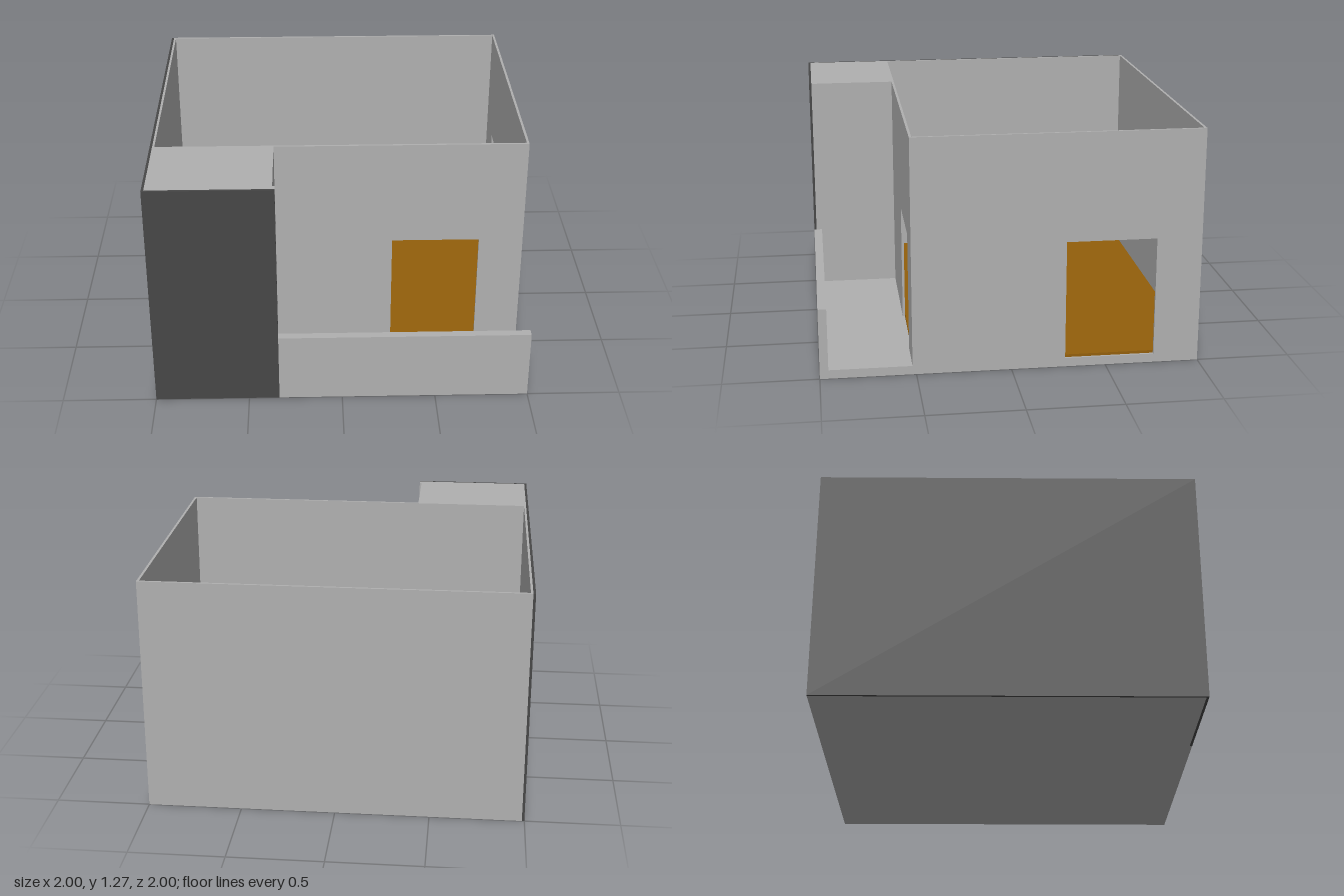
import * as THREE from 'three';

export function createModel() {
  const model = new THREE.Group();
  const plaster = new THREE.MeshStandardMaterial({ color: 0xb0b0b0, name: 'grey plaster' });
  const cladding = new THREE.MeshStandardMaterial({ color: 0x474747, name: 'dark cladding' });
  const wood = new THREE.MeshStandardMaterial({ color: 0x935f0b, name: 'brown wood' });

  const top = 1.27, slabTop = 0.047, wall = 0.013, roomFront = 0.52;

  // Box given by its lower and upper corners
  function block(name, material, [x0, y0, z0], [x1, y1, z1]) {
    const mesh = new THREE.Mesh(new THREE.BoxGeometry(x1 - x0, y1 - y0, z1 - z0), material);
    mesh.position.set((x0 + x1) / 2, (y0 + y1) / 2, (z0 + z1) / 2);
    mesh.name = name;
    model.add(mesh);
    return mesh;
  }

  // Upright wall in the xy plane with one rectangular opening
  function wallWithOpening(name, u0, u1, o0, o1) {
    const shape = new THREE.Shape([
      [u0, slabTop], [o0, slabTop], [o0, 0.69], [o1, 0.69], [o1, slabTop],
      [u1, slabTop], [u1, top], [u0, top],
    ].map(([u, v]) => new THREE.Vector2(u, v)));
    const geometry = new THREE.ExtrudeGeometry(shape, { depth: wall, bevelEnabled: false });
    const mesh = new THREE.Mesh(geometry, plaster);
    mesh.name = name;
    model.add(mesh);
    return mesh;
  }

  // Base slab and wooden room floor
  block('baseSlab', plaster, [-1 + wall, 0, -1], [1, slabTop, 1 - wall]);
  block('roomFloor', wood, [-0.975, slabTop, -0.988], [0.987, 0.062, 0.508]);

  // Room walls
  block('backWall', plaster, [-1 + wall, slabTop, -1], [1, top, -1 + wall]);
  block('leftWall', plaster, [-1 + wall, slabTop, -1 + wall], [-0.975, top, roomFront]);
  const frontWall = wallWithOpening('frontWall', -0.975, 1, 0.285, 0.76);
  frontWall.position.z = roomFront - wall;
  // Turned so that local x runs along -z
  const rightWall = wallWithOpening('rightWall', -roomFront + wall, 1 - wall, 0.285, 0.76);
  rightWall.rotation.y = Math.PI / 2;
  rightWall.position.x = 1 - wall;

  // Solid corner tower beside the terrace
  block('cornerTower', plaster, [-1 + wall, slabTop, roomFront], [-0.35, top, 1 - wall]);
  block('towerEdge', plaster, [-0.35, slabTop, 0.955], [-0.338, top, 1 - wall]);

  // Terrace parapet, with the slab edge below it
  block('parapet', plaster, [-0.338, slabTop, 0.955], [1, 0.383, 1 - wall]);
  block('parapetFace', plaster, [-0.338, 0, 1 - wall], [1, 0.383, 1]);

  // Dark cladding on the left side and the tower front
  block('leftCladding', cladding, [-1, 0, -1], [-1 + wall, top, 1]);
  block('frontCladding', cladding, [-1 + wall, 0, 1 - wall], [-0.338, top, 1]);

  return model;
}
